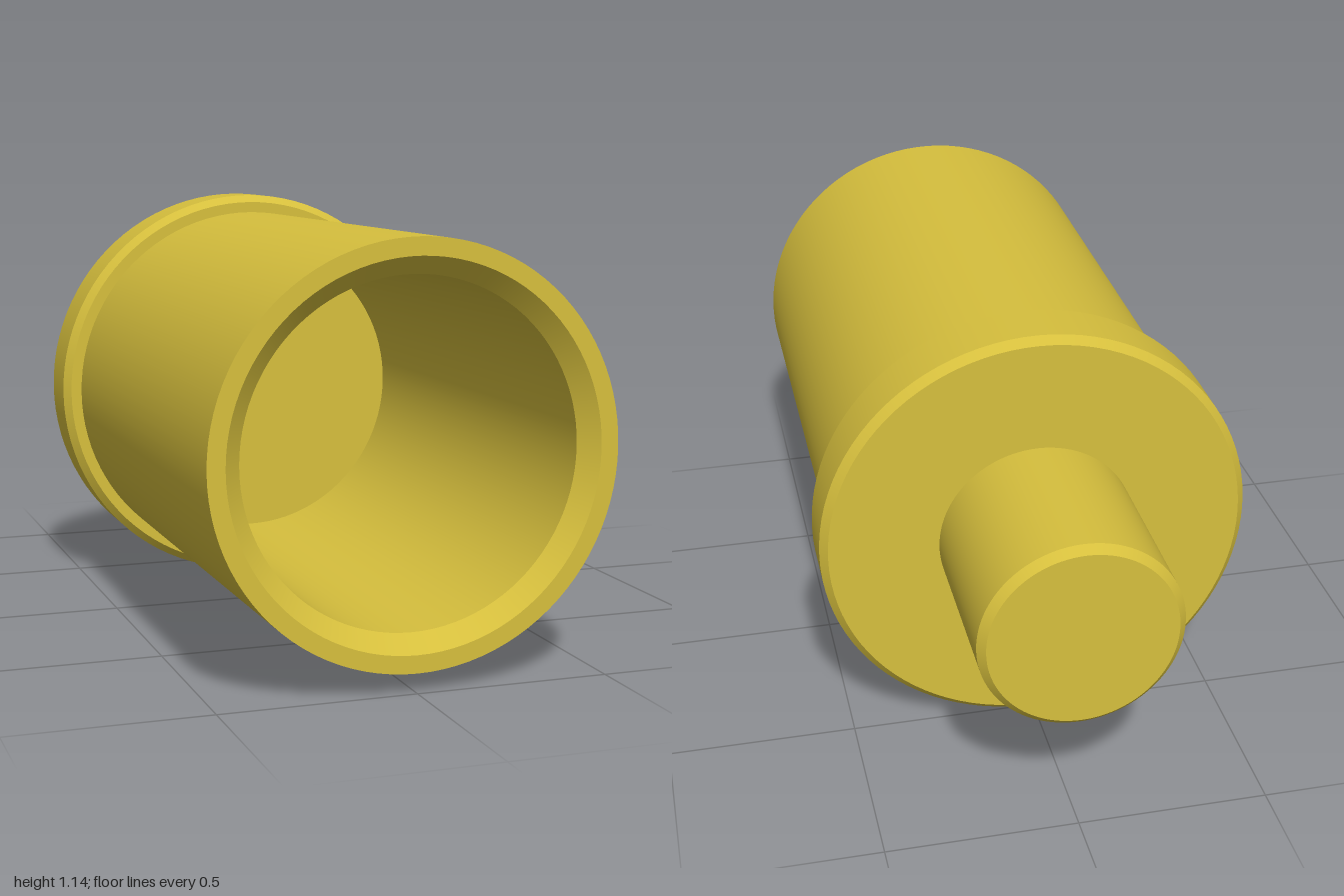
import * as THREE from 'three';
import { mergeGeometries } from 'three/addons/utils/BufferGeometryUtils.js';

const SEGMENTS = 96;
const AXIS_HEIGHT = 0.57;

// Turns a profile of [radius, z] corners; each straight run is its own lathe so edges stay crisp
function turned(profile) {
  const runs = [];
  for (let i = 0; i < profile.length - 1; i++) {
    const run = [profile[i], profile[i + 1]].map(([r, z]) => new THREE.Vector2(r, z));
    runs.push(new THREE.LatheGeometry(run, SEGMENTS));
  }
  return mergeGeometries(runs).rotateX(Math.PI / 2);
}

export function createModel() {
  const group = new THREE.Group();
  group.name = 'turnedBushing';

  const brass = new THREE.MeshStandardMaterial({ color: 0xd6bf3d });
  brass.name = 'brass yellow';

  const add = (name, profile) => {
    const mesh = new THREE.Mesh(turned(profile), brass);
    mesh.name = name;
    mesh.position.y = AXIS_HEIGHT;
    group.add(mesh);
  };

  // Rear stem with a chamfered tip
  add('stem', [[0, -1], [0.24, -1], [0.26, -0.98], [0.26, -0.52]]);

  // Collar, chamfered on both rims
  add('collar', [
    [0.26, -0.52], [0.55, -0.52], [0.57, -0.5],
    [0.57, -0.355], [0.55, -0.335], [0.52, -0.335],
  ]);

  // Hollow barrel: outer wall, front lip, lead-in chamfer, bore and bore floor
  add('barrel', [
    [0.52, -0.335], [0.52, 1], [0.475, 1],
    [0.43, 0.957], [0.43, -0.335], [0, -0.335],
  ]);

  return group;
}
